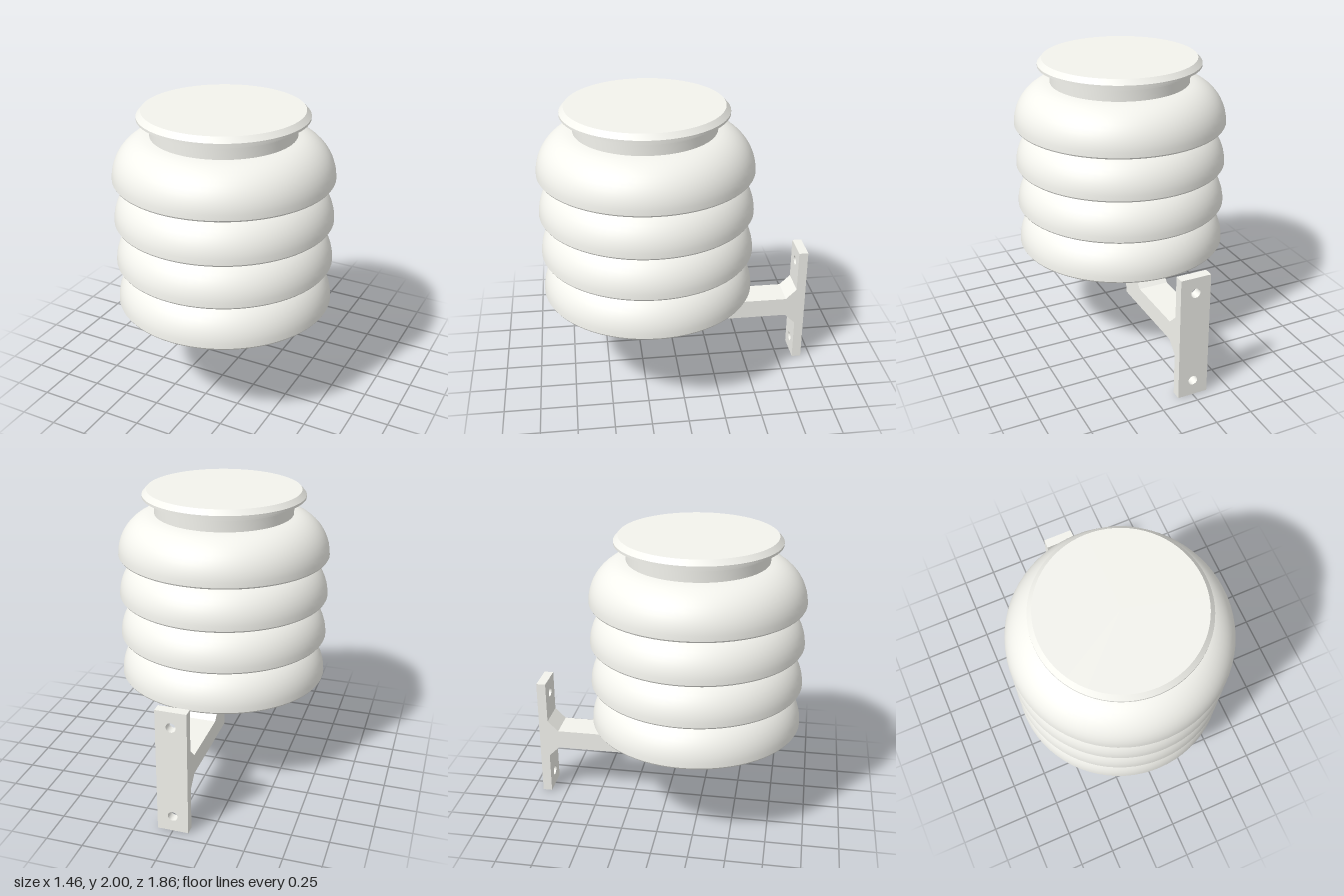
import * as THREE from 'three';
import { toCreasedNormals } from 'three/addons/utils/BufferGeometryUtils.js';

const BODY_Z = 0.2;     // axis of the round body
const FIRST_RIM = 0.667; // rim height of the lowest louver
const PITCH = 0.293;    // louver spacing
const LOUVERS = 4;
const TUBE_OUT = 0.475, TUBE_IN = 0.425;

const material = new THREE.MeshStandardMaterial({ color: 0xf3f3ed });

function part(name, geometry, parent) {
  const mesh = new THREE.Mesh(geometry, material);
  mesh.name = name;
  parent.add(mesh);
  return mesh;
}

function lathe(points) {
  const profile = points.map(([r, y]) => new THREE.Vector2(r, y));
  return toCreasedNormals(new THREE.LatheGeometry(profile, 72), 0.6);
}

// Quarter ellipse from just above the rim to the crown
function domeArc(rx, ry, endRadius, steps = 12) {
  const end = Math.acos((endRadius - 0.45) / rx);
  return Array.from({ length: steps + 1 }, (_, i) => {
    const a = (end * i) / steps;
    return [0.45 + rx * Math.cos(a), 0.01 + ry * Math.sin(a)];
  });
}

// Hollow dome with an inner collar; the top louver carries a neck
function louverGeometry(collarBottom, neckHeight) {
  const outer = domeArc(0.278, 0.281, TUBE_OUT);
  const inner = domeArc(0.246, 0.248, TUBE_OUT).reverse();
  const top = 0.29 + neckHeight;
  const neck = neckHeight ? [[TUBE_OUT, top]] : [];
  return lathe([
    [0.722, 0], ...outer, ...neck,
    [TUBE_IN, top], [TUBE_IN, collarBottom], [TUBE_OUT, collarBottom],
    ...inner, [0.696, 0], [0.722, 0],
  ]);
}

function shapeFrom(points) {
  return new THREE.Shape(points.map(([x, y]) => new THREE.Vector2(x, y)));
}

export function createModel() {
  const model = new THREE.Group();
  model.name = 'ventilatedHousing';

  const body = new THREE.Group();
  body.name = 'louveredBody';
  body.position.z = BODY_Z;
  model.add(body);

  // Stacked louvers: the lowest has a deeper collar, the top one a neck
  for (let i = 0; i < LOUVERS; i++) {
    const geometry = louverGeometry(i === 0 ? 0.02 : 0.07, i === LOUVERS - 1 ? 0.085 : 0);
    part('louver' + (i + 1), geometry, body).position.y = FIRST_RIM + PITCH * i;
  }

  // Short spacer posts leave air openings between the collars
  const postGeometry = new THREE.BoxGeometry(0.12, 0.1, 0.035);
  for (let i = 0; i < LOUVERS - 1; i++) {
    for (let k = 0; k < 6; k++) {
      const a = (k * Math.PI) / 3;
      const post = part('spacerPost', postGeometry, body);
      post.position.set(0.446 * Math.sin(a), FIRST_RIM + PITCH * i + 0.324, 0.446 * Math.cos(a));
      post.rotation.y = a;
    }
  }

  // Lid with a stepped flange and bevelled rim
  part('lid', lathe([
    [0, 1.91], [TUBE_IN, 1.91], [TUBE_IN, 1.92], [0.505, 1.92], [0.505, 1.95],
    [0.555, 1.95], [0.555, 1.966], [0.525, 2], [0, 2],
  ]), body);

  // Wall bracket
  const bracket = new THREE.Group();
  bracket.name = 'wallBracket';
  model.add(bracket);
  const W = 0.21;

  const plate = shapeFrom([[-W / 2, 0], [W / 2, 0], [W / 2, 0.88], [-W / 2, 0.88]]);
  for (const y of [0.11, 0.77]) {
    plate.holes.push(new THREE.Path().absarc(0, y, 0.033, 0, Math.PI * 2, true));
  }
  part('wallPlate', new THREE.ExtrudeGeometry(plate, { depth: 0.065, bevelEnabled: false, curveSegments: 20 }), bracket)
    .position.z = -0.93;

  // Arm outline in z and y, with gussets at the plate and a sloped toe under the body
  const arm = shapeFrom([
    [-0.866, 0.3], [-0.79, 0.375], [-0.12, 0.375], [-0.12, 0.735],
    [-0.34, 0.51], [-0.79, 0.51], [-0.866, 0.585],
  ]);
  const armGeometry = new THREE.ExtrudeGeometry(arm, { depth: W, bevelEnabled: false });
  armGeometry.rotateY(-Math.PI / 2).translate(W / 2, 0, 0);
  part('bracketArm', armGeometry, bracket);

  // Clip joining the toe to the inside of the lowest collar
  part('bracketClip', new THREE.BoxGeometry(0.16, 0.16, 0.09), bracket).position.set(0, 0.76, -0.195);

  return model;
}
